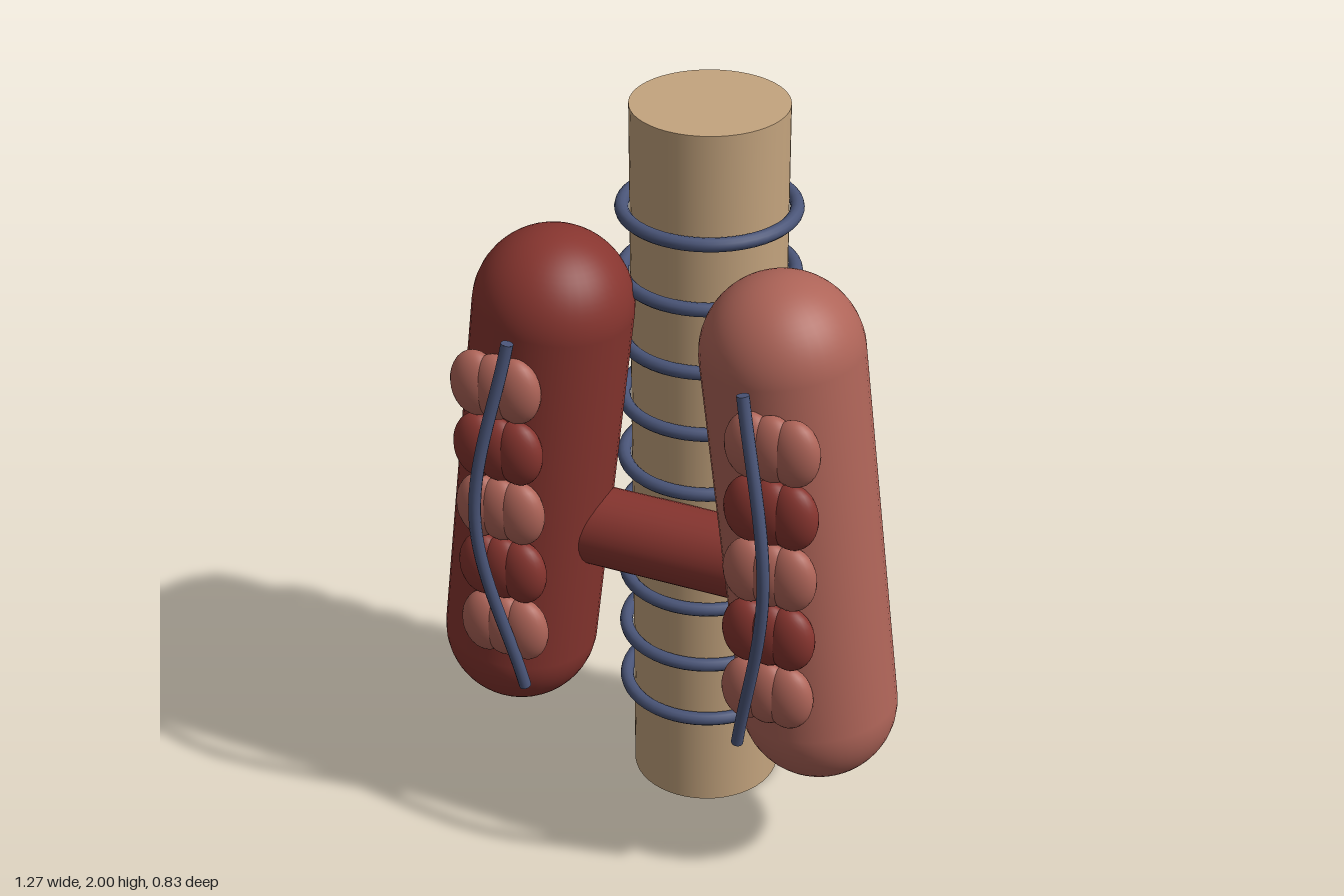
import * as THREE from 'three';

const paint = (color) => new THREE.MeshStandardMaterial({ color });

export function createModel() {
  const model = new THREE.Group();
  const tan = paint(0xc4a47e), blue = paint(0x4a5578);
  const light = paint(0xae6458), dark = paint(0x87352f);

  const add = (name, geometry, material, x, y, z, parent = model) => {
    const mesh = new THREE.Mesh(geometry, material);
    mesh.name = name;
    mesh.position.set(x, y, z);
    parent.add(mesh);
    return mesh;
  };

  // central tube with nine cartilage rings
  const cx = -0.003, tubeZ = -0.175;
  add('centralTube', new THREE.CylinderGeometry(0.2, 0.2, 2, 48), tan, cx, 1, tubeZ);
  const ringGeometry = new THREE.TorusGeometry(0.22, 0.018, 12, 48);
  for (let i = 0; i < 9; i++) {
    add('ring', ringGeometry, blue, cx, 0.29 + i * 0.179, tubeZ).rotation.x = Math.PI / 2;
  }

  // bridge joining the two lobes
  add('bridge', new THREE.CapsuleGeometry(0.105, 0.4, 12, 32), dark, cx, 0.875, 0.085).rotation.z = Math.PI / 2;

  const lobeGeometry = new THREE.CapsuleGeometry(0.205, 1.008, 16, 40);
  const noduleGeometry = new THREE.SphereGeometry(1, 24, 16);

  for (const [side, label] of [[1, 'left'], [-1, 'right']]) {
    const half = new THREE.Group();
    half.name = label + 'Half';
    half.position.x = cx;
    model.add(half);

    // tilted lobe
    add(label + 'Lobe', lobeGeometry, side > 0 ? light : dark, side * 0.37, 1.006, 0.09, half)
      .rotation.z = side * 0.122;

    // five rows of flattened nodules, alternating in colour
    for (let row = 0; row < 5; row++) {
      for (const dx of [-0.056, 0, 0.056]) {
        add('nodule', noduleGeometry, row % 2 ? dark : light,
          side * 0.37 + dx, 0.647 + row * 0.179, 0.3, half).scale.set(0.067, 0.09, 0.045);
      }
    }

    // bowed nerve in front of the nodules
    const path = new THREE.CatmullRomCurve3([
      new THREE.Vector3(side * 0.302, 0.49, 0.33),
      new THREE.Vector3(side * 0.392, 1.03, 0.397),
      new THREE.Vector3(side * 0.31, 1.52, 0.343),
    ]);
    add(label + 'Nerve', new THREE.TubeGeometry(path, 32, 0.016, 12), blue, 0, 0, 0, half);

    // nerve end caps
    for (const t of [0, 1]) {
      const outward = path.getTangent(t).multiplyScalar(t ? 1 : -1);
      const p = path.getPoint(t);
      add('nerveEnd', new THREE.CircleGeometry(0.016, 12), blue, p.x, p.y, p.z, half)
        .quaternion.setFromUnitVectors(new THREE.Vector3(0, 0, 1), outward);
    }
  }
  return model;
}
